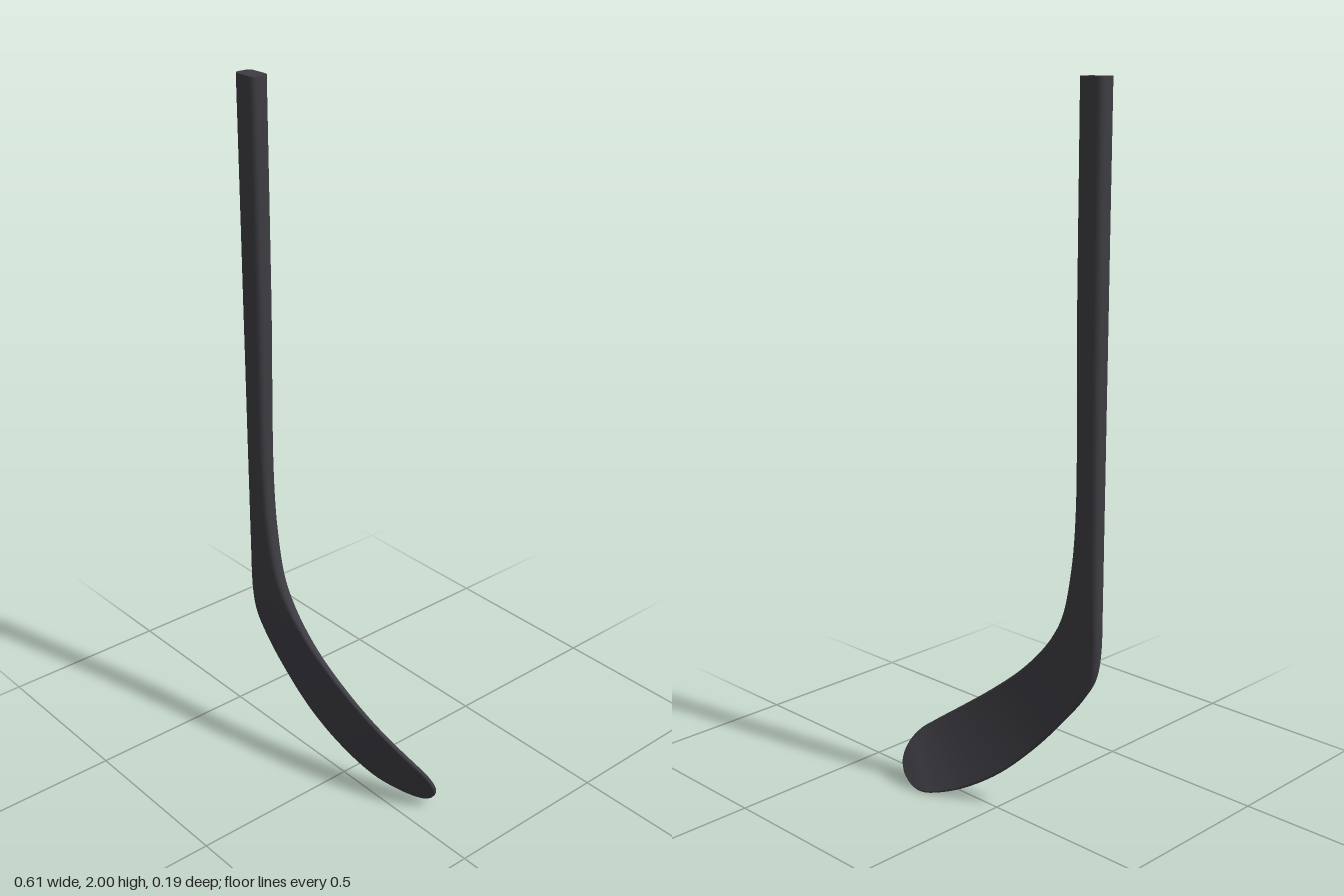
import * as THREE from 'three';

// Stations from butt to toe: heel-side edge xyz, upper edge xyz, thickness
const STATIONS = [
  [-0.307, 2.0, 0.069, -0.229, 2.0, 0.069, 0.052],
  [-0.307, 1.4, 0.069, -0.229, 1.4, 0.069, 0.05],
  [-0.307, 0.9, 0.071, -0.229, 0.9, 0.071, 0.044],
  [-0.307, 0.68, 0.072, -0.212, 0.73, 0.072, 0.04],
  [-0.306, 0.52, 0.073, -0.18, 0.6, 0.072, 0.034],
  [-0.295, 0.45, 0.071, -0.14, 0.525, 0.069, 0.029],
  [-0.26, 0.388, 0.068, -0.09, 0.463, 0.065, 0.024],
  [-0.2, 0.31, 0.061, -0.03, 0.402, 0.057, 0.019],
  [-0.1, 0.195, 0.04, 0.06, 0.327, 0.041, 0.016],
  [0, 0.1, 0.006, 0.15, 0.259, 0.02, 0.014],
  [0.1, 0.035, -0.031, 0.235, 0.196, -0.009, 0.014],
  [0.17, 0.008, -0.064, 0.277, 0.161, -0.029, 0.013],
  [0.215, 0.001, -0.084, 0.298, 0.127, -0.05, 0.013],
  [0.25, 0.01, -0.09, 0.305, 0.095, -0.067, 0.012],
  [0.28, 0.032, -0.088, 0.303, 0.07, -0.077, 0.012],
  [0.294, 0.048, -0.084, 0.295, 0.05, -0.083, 0.003],
];
const ROWS = 120;
const CORNER = 4;

// Rounded rectangle outline in local (u, v), counter-clockwise
function roundedSection(width, thick) {
  const r = Math.min(0.016, thick * 0.45, width * 0.45);
  const pts = [];
  [[1, 1], [-1, 1], [-1, -1], [1, -1]].forEach(([su, sv], q) => {
    for (let k = 0; k <= CORNER; k++) {
      const a = (q + k / CORNER) * Math.PI / 2;
      pts.push([su * (width / 2 - r) + r * Math.cos(a), sv * (thick / 2 - r) + r * Math.sin(a)]);
    }
  });
  return pts;
}

function makeGeometry(positions, index) {
  const g = new THREE.BufferGeometry();
  g.setAttribute('position', new THREE.Float32BufferAttribute(positions, 3));
  g.setIndex(index);
  g.computeVertexNormals();
  return g;
}

// Flat fan closing a ring; flip turns it to face the other way
function capGeometry(ring, flip) {
  const centre = new THREE.Vector3();
  ring.forEach(p => centre.addScaledVector(p, 1 / ring.length));
  const index = [];
  ring.forEach((_, j) => {
    const a = j + 1, b = (j + 1) % ring.length + 1;
    index.push(0, flip ? b : a, flip ? a : b);
  });
  return makeGeometry([centre, ...ring].flatMap(p => p.toArray()), index);
}

function buildRings() {
  const heel = new THREE.CatmullRomCurve3(STATIONS.map(s => new THREE.Vector3(s[0], s[1], s[2])));
  const upper = new THREE.CatmullRomCurve3(STATIONS.map(s => new THREE.Vector3(s[3], s[4], s[5])));
  const last = STATIONS.length - 1;
  const mid = t => heel.getPoint(t).add(upper.getPoint(t)).multiplyScalar(0.5);
  const rings = [];
  for (let i = 0; i <= ROWS; i++) {
    const t = i / ROWS;
    const a = heel.getPoint(t), b = upper.getPoint(t);
    const s = Math.min(Math.floor(t * last), last - 1);
    const thick = THREE.MathUtils.lerp(STATIONS[s][6], STATIONS[s + 1][6], t * last - s);
    const u = b.clone().sub(a);
    const width = u.length();
    u.normalize();
    const back = mid(Math.max(0, t - 0.01)).sub(mid(Math.min(1, t + 0.01)));
    const v = u.clone().cross(back).normalize();
    const c = mid(t);
    rings.push(roundedSection(width, thick).map(([p, q]) =>
      c.clone().addScaledVector(u, p).addScaledVector(v, q)));
  }
  return rings;
}

export function createModel() {
  const group = new THREE.Group();
  group.name = 'hockeyStick';
  const material = new THREE.MeshStandardMaterial({ color: 0x3c3c42 });
  const add = (name, geometry) => {
    const mesh = new THREE.Mesh(geometry, material);
    mesh.name = name;
    group.add(mesh);
  };

  // Shaft flowing into the curved blade as one smooth skin
  const rings = buildRings();
  const n = rings[0].length;
  const index = [];
  for (let i = 0; i < ROWS; i++) {
    for (let j = 0; j < n; j++) {
      const a = i * n + j, b = i * n + (j + 1) % n;
      index.push(a, b, a + n, b, b + n, a + n);
    }
  }
  add('shaftAndBlade', makeGeometry(rings.flat().flatMap(p => p.toArray()), index));

  // Flat butt end and the closed toe
  add('shaftEnd', capGeometry(rings[0], true));
  add('bladeToe', capGeometry(rings[ROWS], false));
  return group;
}
